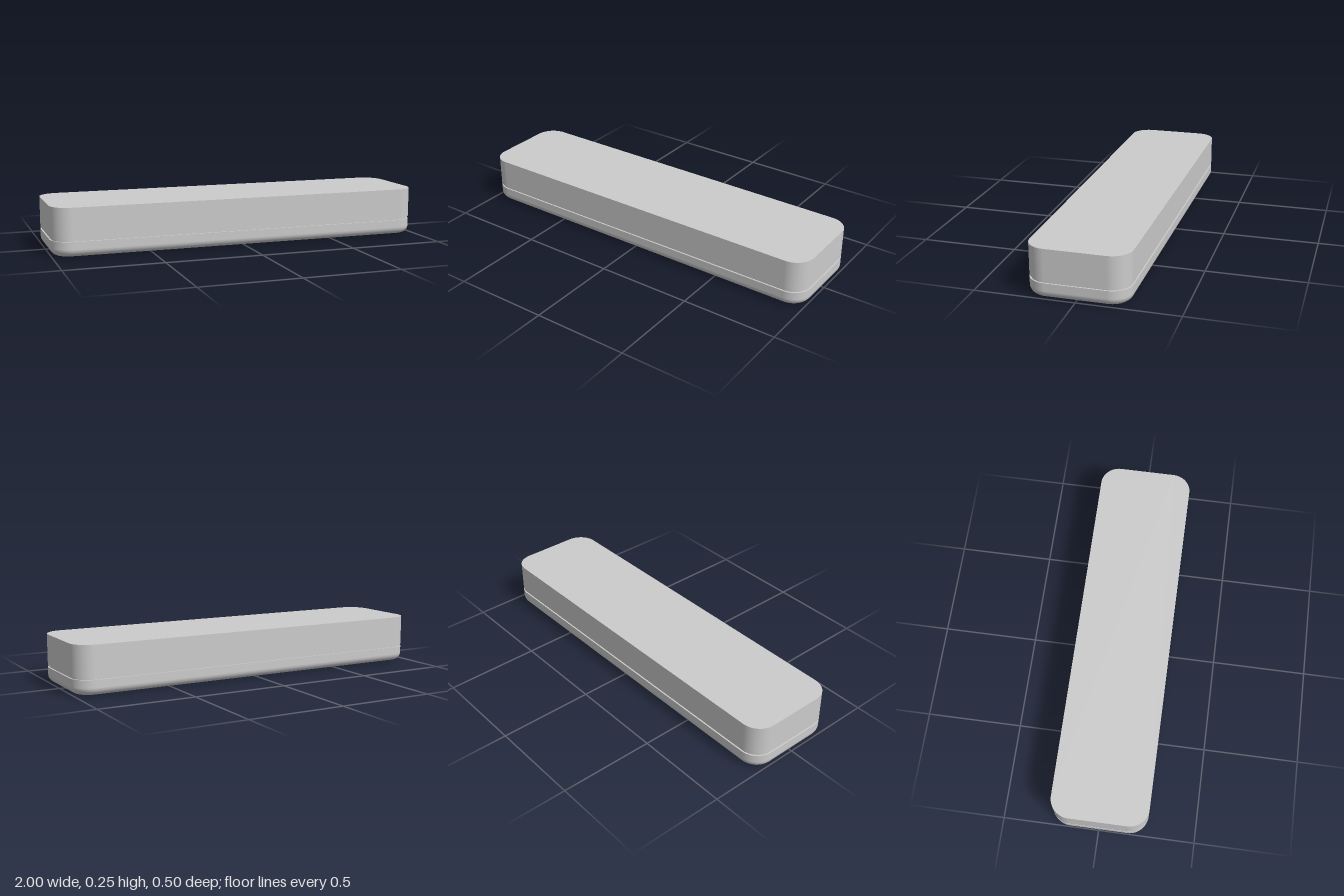
import * as THREE from 'three';

const HALF_X = 1, HALF_Z = 0.25, CORNER = 0.1, SEGMENTS = 12;

// Rounded-rectangle outline, with its outward direction at each point
function outline() {
  const points = [];
  for (let q = 0; q < 4; q++) {
    const sx = q === 0 || q === 3 ? 1 : -1, sz = q < 2 ? 1 : -1;
    for (let i = 0; i <= SEGMENTS; i++) {
      const a = (q + i / SEGMENTS) * Math.PI / 2;
      points.push({ cx: sx * (HALF_X - CORNER), cz: sz * (HALF_Z - CORNER), dx: Math.cos(a), dz: Math.sin(a) });
    }
  }
  return points;
}

// Sweeps a profile of [inset, y, outward normal, vertical normal] round the
// outline, from bottom to top, and closes both ends with flat caps
function roundedSlab(name, profile, material) {
  const ring = outline(), n = ring.length;
  const position = [], normal = [], index = [];
  const addRing = ([inset, y, out, up]) => {
    const start = position.length / 3, r = CORNER - inset;
    for (const p of ring) {
      position.push(p.cx + p.dx * r, y, p.cz + p.dz * r);
      normal.push(p.dx * out, up, p.dz * out);
    }
    return start;
  };

  // Side wall
  const starts = profile.map(addRing);
  for (let i = 0; i < starts.length - 1; i++) {
    for (let j = 0; j < n; j++) {
      const k = (j + 1) % n, a = starts[i], b = starts[i + 1];
      index.push(a + j, b + j, a + k, a + k, b + j, b + k);
    }
  }

  // Caps
  const [first, last] = [profile[0], profile[profile.length - 1]];
  const bottom = addRing([first[0], first[1], 0, -1]);
  const top = addRing([last[0], last[1], 0, 1]);
  for (let j = 1; j < n - 1; j++) {
    index.push(bottom, bottom + j, bottom + j + 1, top, top + j + 1, top + j);
  }

  const geometry = new THREE.BufferGeometry();
  geometry.setAttribute('position', new THREE.Float32BufferAttribute(position, 3));
  geometry.setAttribute('normal', new THREE.Float32BufferAttribute(normal, 3));
  geometry.setIndex(index);
  const mesh = new THREE.Mesh(geometry, material);
  mesh.name = name;
  return mesh;
}

export function createModel() {
  const group = new THREE.Group();
  group.name = 'roundedCase';
  const material = new THREE.MeshStandardMaterial({ color: 0xcccccc });
  const seamLow = 0.079, seamHigh = 0.091, height = 0.25, fillet = 0.04;

  // Base tray with a rounded lower edge
  const baseProfile = [];
  for (let i = 0; i <= 10; i++) {
    const a = i / 10 * Math.PI / 2, s = Math.sin(a), c = Math.cos(a);
    baseProfile.push([fillet * (1 - s), fillet * (1 - c), s, -c]);
  }
  baseProfile.push([0, seamLow, 1, 0]);
  group.add(roundedSlab('base', baseProfile, material));

  // Recessed seam between base and lid
  group.add(roundedSlab('seam', [[0.008, seamLow, 1, 0], [0.008, seamHigh, 1, 0]], material));

  // Straight-sided lid with a flat top
  group.add(roundedSlab('lid', [[0, seamHigh, 1, 0], [0, height, 1, 0]], material));
  return group;
}
